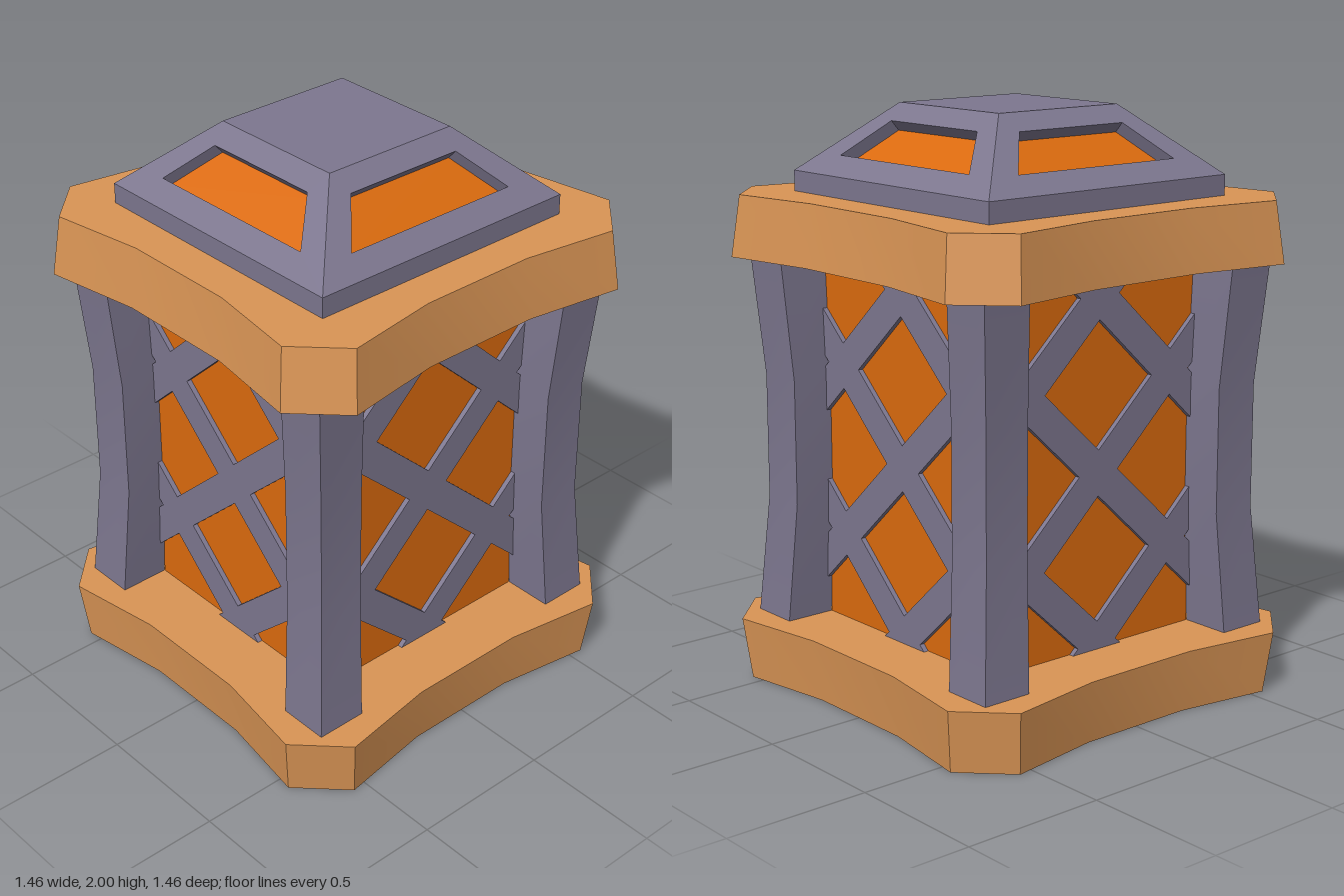
import * as THREE from 'three';
import { toCreasedNormals } from 'three/addons/utils/BufferGeometryUtils.js';

const mat = (name, color) => {
  const m = new THREE.MeshStandardMaterial({ color });
  m.name = name;
  return m;
};
const polygon = (pts) => new THREE.Shape(pts.map(([x, y]) => new THREE.Vector2(x, y)));

export function createModel() {
  const root = new THREE.Group();
  root.name = 'lantern';
  const bronze = mat('bronze', 0xda9555);
  const iron = mat('greyIron', 0x7d778f);
  const amber = mat('amberGlass', 0xdc6b0e);

  const add = (parent, name, geo, material) => {
    const mesh = new THREE.Mesh(geo, material);
    mesh.name = name;
    parent.add(mesh);
    return mesh;
  };

  // Slabs: square with chamfered corners and pinched sides, one end slightly smaller
  const outline = [];
  for (let k = 0; k < 4; k++) {
    const c = Math.round(Math.cos(k * Math.PI / 2)), s = Math.round(Math.sin(k * Math.PI / 2));
    for (const [x, y] of [[0.57, 0.73], [0.22, 0.675], [-0.22, 0.675], [-0.57, 0.73]])
      outline.push([x * c - y * s, x * s + y * c]);
  }
  const slab = (name, y0, height, bottomScale, topScale) => {
    const geo = new THREE.ExtrudeGeometry(polygon(outline), { depth: height, bevelEnabled: false });
    geo.rotateX(-Math.PI / 2);
    const p = geo.attributes.position;
    for (let i = 0; i < p.count; i++) {
      const s = p.getY(i) > height / 2 ? topScale : bottomScale;
      p.setXYZ(i, p.getX(i) * s, p.getY(i) + y0, p.getZ(i) * s);
    }
    add(root, name, toCreasedNormals(geo, 0.5), bronze);
  };
  slab('baseSlab', 0, 0.215, 0.966, 1);
  slab('topSlab', 1.49, 0.21, 1, 0.966);

  // Glass body
  add(root, 'glassBody', new THREE.BoxGeometry(0.88, 1.5, 0.88).translate(0, 0.85, 0), amber);

  // Corner post, thinner and drawn inward along the middle
  const postGeo = new THREE.BoxGeometry(1, 1.3, 1, 1, 3, 1);
  const pp = postGeo.attributes.position;
  for (let i = 0; i < pp.count; i++) {
    const mid = Math.abs(pp.getY(i)) < 0.5;
    const place = (v) => (v > 0 ? (mid ? 0.59 : 0.622) : (mid ? 0.422 : 0.442));
    pp.setXYZ(i, place(pp.getX(i)), pp.getY(i) + 0.85, place(pp.getZ(i)));
  }
  const post = toCreasedNormals(postGeo, 0.5);

  // Lattice bars: parallelograms running both ways, trimmed to the panel
  const half = 0.44, slope = 0.295 / 0.32, thick = 0.078;
  const bars = [];
  for (const dir of [1, -1])
    for (const y0 of [1.415, 0.825, 0.235]) {
      const ends = [(0.1 - y0) / slope, (1.6 - y0) / slope]
        .map((x) => dir * THREE.MathUtils.clamp(x, -half, half)).sort((a, b) => a - b);
      const [a, b] = ends;
      const y = (x) => y0 + dir * slope * x;
      bars.push(polygon([[a, y(a) - thick], [b, y(b) - thick], [b, y(b) + thick], [a, y(a) + thick]]));
    }
  const lattice = new THREE.ExtrudeGeometry(bars, { depth: 0.02, bevelEnabled: false });
  lattice.translate(0, 0, 0.438);

  // Roof slope with a recessed trapezoid window
  const rise = 0.23, run = 0.255, len = Math.hypot(rise, run), depth = 0.045;
  const slopeShape = polygon([[-0.51, 0], [0.51, 0], [0.255, len], [-0.255, len]]);
  const windowPts = [[-0.335, 0.09], [0.335, 0.09], [0.222, 0.261], [-0.222, 0.261]];
  slopeShape.holes.push(polygon(windowPts));
  const ontoSlope = (geo) =>
    geo.translate(0, 0, -depth).rotateX(-Math.atan2(run, rise)).translate(0, 1.77, 0.51);
  const slopeGeo = ontoSlope(new THREE.ExtrudeGeometry(slopeShape, { depth, bevelEnabled: false }));
  const paneGeo = ontoSlope(new THREE.ShapeGeometry(polygon(windowPts)));

  // Four identical sides
  for (let k = 0; k < 4; k++) {
    const side = new THREE.Group();
    side.name = ['front', 'left', 'back', 'right'][k] + 'Side';
    side.rotation.y = k * Math.PI / 2;
    add(side, 'cornerPost', post, iron);
    add(side, 'lattice', lattice, iron);
    add(side, 'roofSlope', slopeGeo, iron);
    add(side, 'roofWindow', paneGeo, amber);
    root.add(side);
  }

  // Roof base and flat cap
  add(root, 'roofBase', new THREE.BoxGeometry(1.02, 0.08, 1.02).translate(0, 1.73, 0), iron);
  add(root, 'roofCap', new THREE.BoxGeometry(0.51, 0.04, 0.51).translate(0, 1.98, 0), iron);
  return root;
}
